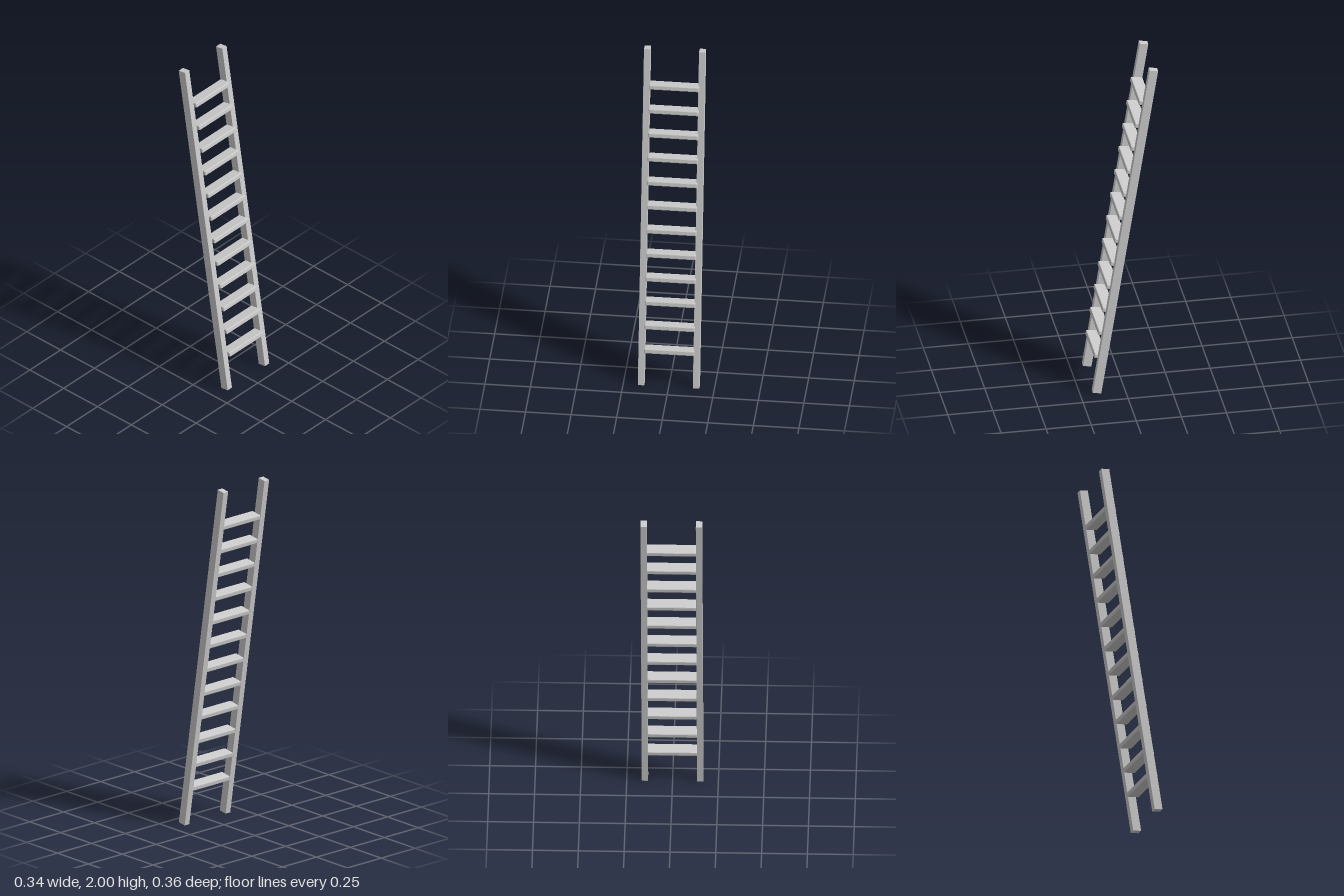
import * as THREE from 'three';
import { RoundedBoxGeometry } from 'three/addons/geometries/RoundedBoxGeometry.js';

const TILT = THREE.MathUtils.degToRad(9);
const RAIL = { width: 0.035, depth: 0.048, length: 2.017, x: 0.151 };
const RUNG = { width: 0.275, height: 0.028, depth: 0.067, count: 12, first: 0.215, last: 1.778 };

export function createModel() {
  const model = new THREE.Group();
  model.name = 'ladder';
  const material = new THREE.MeshStandardMaterial({ color: 0xcccccc, flatShading: true });

  // Everything is built upright, then leaned back as one frame.
  const frame = new THREE.Group();
  frame.name = 'leaningFrame';
  frame.position.y = 1;
  frame.rotation.x = -TILT;
  model.add(frame);

  // Side rails
  const railGeometry = new RoundedBoxGeometry(RAIL.width, RAIL.length, RAIL.depth, 1, 0.001);
  for (const side of [-1, 1]) {
    const rail = new THREE.Mesh(railGeometry, material);
    rail.name = side > 0 ? 'leftRail' : 'rightRail';
    rail.position.x = side * RAIL.x;
    frame.add(rail);
  }

  // Chamfered rungs, flush with the back of the rails and standing proud in front
  const rungGeometry = new RoundedBoxGeometry(RUNG.width, RUNG.height, RUNG.depth, 1, 0.005);
  const rungZ = (RUNG.depth - RAIL.depth) / 2;
  for (let i = 0; i < RUNG.count; i++) {
    const y = THREE.MathUtils.lerp(RUNG.first, RUNG.last, i / (RUNG.count - 1));
    const rung = new THREE.Mesh(rungGeometry, material);
    rung.name = `rung${i + 1}`;
    rung.position.set(0.002, (y - 1) / Math.cos(TILT), rungZ);
    frame.add(rung);
  }

  return model;
}
